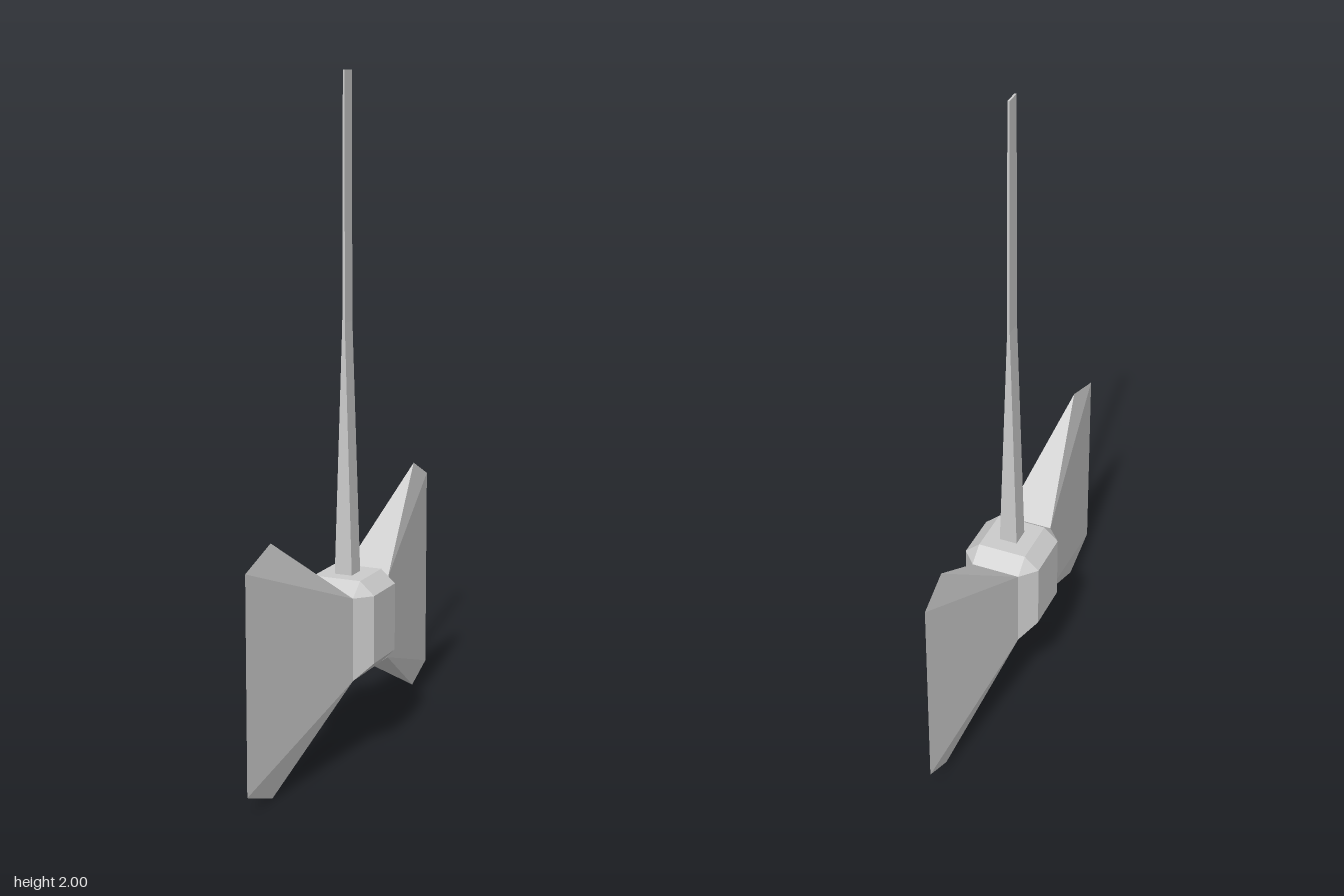
import * as THREE from 'three';
import { ConvexGeometry } from 'three/addons/geometries/ConvexGeometry.js';

const material = new THREE.MeshStandardMaterial({ color: 0xcccccc, flatShading: true });

// Skin a stack of rings (bottom to top) and close both ends
function loft(rings) {
  const n = rings[0].length;
  const positions = [];
  const tri = (a, b, c) => positions.push(...a, ...b, ...c);
  for (let r = 0; r < rings.length - 1; r++) {
    const lo = rings[r], hi = rings[r + 1];
    for (let i = 0; i < n; i++) {
      const j = (i + 1) % n;
      tri(lo[i], lo[j], hi[j]);
      tri(lo[i], hi[j], hi[i]);
    }
  }
  const bottom = rings[0], top = rings[rings.length - 1];
  for (let i = 1; i < n - 1; i++) {
    tri(bottom[0], bottom[i + 1], bottom[i]);
    tri(top[0], top[i], top[i + 1]);
  }
  const geometry = new THREE.BufferGeometry();
  geometry.setAttribute('position', new THREE.Float32BufferAttribute(positions, 3));
  geometry.computeVertexNormals();
  return geometry;
}

// Rectangle ring at height y
const rectRing = (y, w, front, back) => [
  [-w, y, front], [w, y, front], [w, y, back], [-w, y, back],
];

// Octagon ring: inner half width w, outer half width W, z extents of each
const octRing = (y, w, W, inF, inB, outF, outB) => [
  [-w, y, outF], [w, y, outF], [W, y, inF], [W, y, inB],
  [w, y, outB], [-w, y, outB], [-W, y, inB], [-W, y, inF],
];

// Wedge blade from a rectangular root to a thin edge; edge holds [y, z] pairs
function blade(rootZ, edge) {
  const points = [];
  for (const x of [-0.075, 0.075])
    for (const y of [0.24, 0.49]) points.push(new THREE.Vector3(x, y, rootZ));
  for (const [y, z] of edge) points.push(new THREE.Vector3(0, y, z));
  return new ConvexGeometry(points);
}

export function createModel() {
  const group = new THREE.Group();
  const add = (name, geometry) => {
    const mesh = new THREE.Mesh(geometry, material);
    mesh.name = name;
    group.add(mesh);
  };

  // Bevelled block joining the blades and the shaft
  add('hub', loft([
    octRing(0.24, 0.075, 0.075, 0.055, -0.098, 0.105, -0.148),
    octRing(0.285, 0.075, 0.12, 0.055, -0.098, 0.105, -0.148),
    octRing(0.49, 0.075, 0.12, 0.055, -0.098, 0.105, -0.148),
    octRing(0.53, 0.075, 0.075, 0.055, -0.098, 0.055, -0.098),
  ]));

  // Two flaring blades, the rear one set slightly higher
  add('frontBlade', blade(0.105, [[0.735, 0.48], [0.685, 0.63], [0.055, 0.63], [0, 0.48]]));
  add('backBlade', blade(-0.148, [[0.765, -0.52], [0.71, -0.63], [0.08, -0.63], [0.03, -0.52]]));

  // Long shaft tapering to a thin flat end
  add('shaft', loft([
    rectRing(0.52, 0.028, 0.01, -0.05),
    rectRing(1.28, 0.004, 0.008, -0.045),
    rectRing(2, 0.003, 0.006, -0.042),
  ]));

  return group;
}
